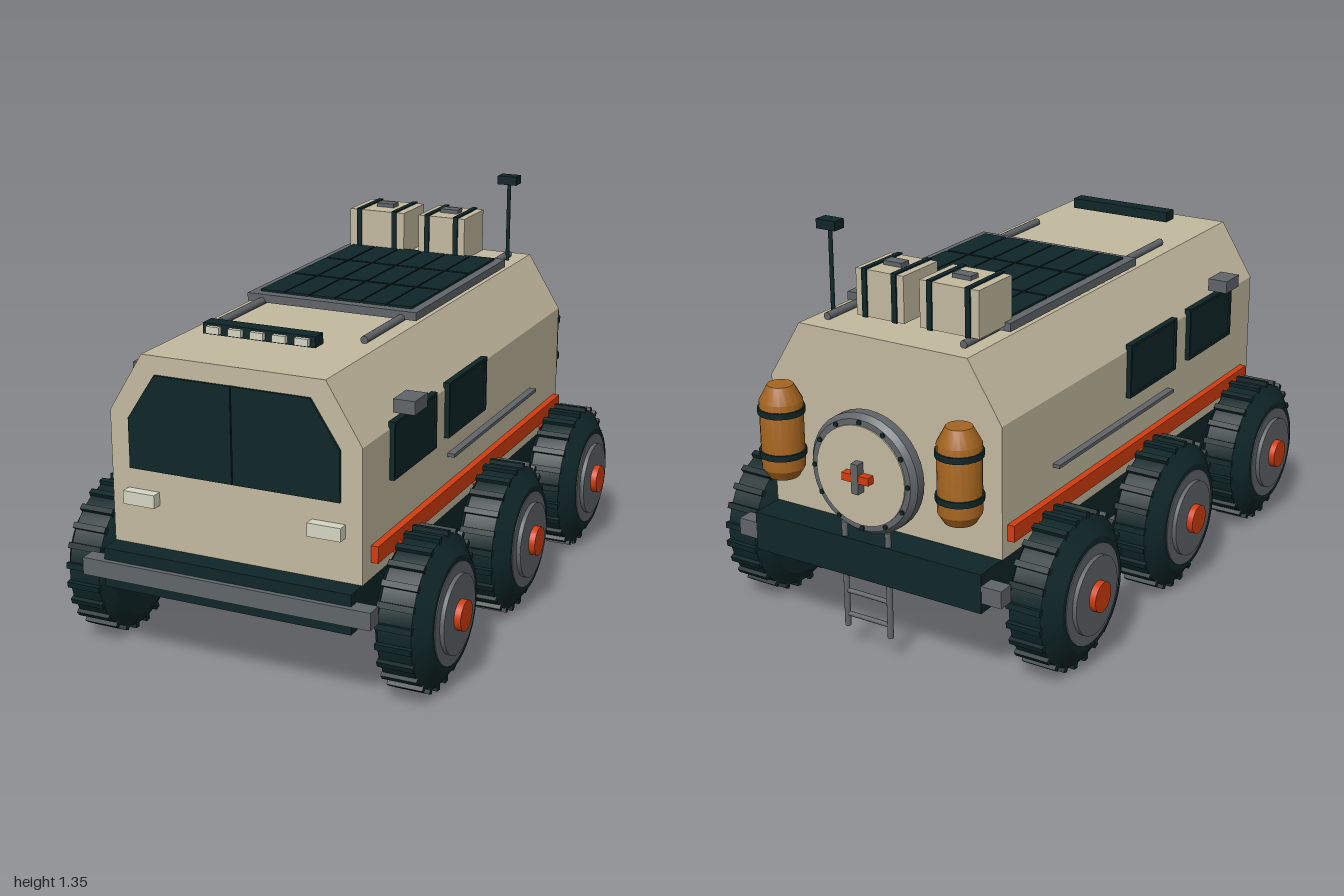
import * as THREE from 'three';
import { toCreasedNormals } from 'three/addons/utils/BufferGeometryUtils.js';

const paint = (name, color) => Object.assign(new THREE.MeshStandardMaterial({ color }), { name });

export function createModel() {
  const root = new THREE.Group();
  root.name = 'rover';
  const sand = paint('sand', 0xc3b99f);
  const dark = paint('dark rubber and glass', 0x0f2628);
  const grey = paint('metal grey', 0x606569);
  const orange = paint('signal orange', 0xd23c0e);
  const amber = paint('tank amber', 0xa5651f);
  const lamp = paint('lamp white', 0xd6d6c4);

  function add(name, geo, mat, x = 0, y = 0, z = 0, parent = root) {
    const m = new THREE.Mesh(geo, mat);
    m.name = name;
    m.position.set(x, y, z);
    parent.add(m);
    return m;
  }
  // box given by its limits on each axis
  const box = (name, mat, x0, x1, y0, y1, z0, z1, parent) =>
    add(name, new THREE.BoxGeometry(x1 - x0, y1 - y0, z1 - z0), mat,
      (x0 + x1) / 2, (y0 + y1) / 2, (z0 + z1) / 2, parent);
  // round bar between two points
  function rod(name, mat, a, b, r, parent) {
    const p = new THREE.Vector3(...a), q = new THREE.Vector3(...b);
    const m = add(name, new THREE.CylinderGeometry(r, r, p.distanceTo(q), 12), mat, 0, 0, 0, parent);
    m.position.copy(p).add(q).multiplyScalar(0.5);
    m.quaternion.setFromUnitVectors(new THREE.Vector3(0, 1, 0), q.sub(p).normalize());
    return m;
  }
  const lathe = (pts, seg) => toCreasedNormals(
    new THREE.LatheGeometry(pts.map(p => new THREE.Vector2(...p)), seg), 0.5);
  const extrude = (pts, depth) => new THREE.ExtrudeGeometry(
    new THREE.Shape(pts.map(p => new THREE.Vector2(...p))), { depth, bevelEnabled: false });

  // hull with chamfered shoulders
  add('hull', extrude([[-0.435, 0.402], [0.435, 0.402], [0.435, 0.84], [0.315, 1.035],
    [-0.315, 1.035], [-0.435, 0.84]], 1.745), sand, 0, 0, -0.84);
  // chassis and bumpers
  box('chassis', dark, -0.432, 0.432, 0.27, 0.402, -0.958, 0.98);
  box('frontBumper', grey, -0.503, 0.503, 0.305, 0.363, 0.94, 0.997);
  box('rearBumper', grey, -0.503, 0.503, 0.305, 0.363, -0.956, -0.9);

  // windshield in two panes
  for (const s of [1, -1]) {
    const pts = [[0.002, 0.66], [0.365, 0.66], [0.365, 0.825], [0.267, 0.975], [0.002, 0.975]];
    const pane = s > 0 ? pts : pts.map(([x, y]) => [-x, y]).reverse();
    add('windshieldPane', extrude(pane, 0.009), dark, 0, 0, 0.907);
  }
  box('windshieldBacking', dark, -0.01, 0.01, 0.66, 0.975, 0.9, 0.912);

  // wheel: tyre, lugs, rim, hub; local +x points outward
  const tyreGeo = lathe([[0, -0.09], [0.2, -0.09], [0.246, -0.062], [0.246, 0.048],
    [0.185, 0.09], [0, 0.09]], 32).rotateZ(-Math.PI / 2);
  const disc = (r, h) => new THREE.CylinderGeometry(r, r, h, 32).rotateZ(-Math.PI / 2);
  const lugGeo = new THREE.BoxGeometry(0.12, 0.024, 0.02);
  function wheel(x, z) {
    const w = new THREE.Group();
    w.name = 'wheel';
    w.position.set(x, 0.259, z);
    if (x < 0) w.rotation.y = Math.PI;
    add('tyre', tyreGeo, dark, 0, 0, 0, w);
    for (let i = 0; i < 24; i++) {
      const a = (i + 0.5) / 24 * Math.PI * 2;
      const lug = add('treadLug', lugGeo, dark, -0.007, Math.cos(a) * 0.247, Math.sin(a) * 0.247, w);
      lug.rotation.x = a;
    }
    add('rim', disc(0.166, 0.008), grey, 0.089, 0, 0, w);
    add('rimPlate', disc(0.13, 0.014), grey, 0.1, 0, 0, w);
    add('hub', disc(0.05, 0.03), orange, 0.114, 0, 0, w);
    add('axle', disc(0.04, 0.15), dark, -0.15, 0, 0, w);
    root.add(w);
  }

  // everything mirrored left and right
  for (const s of [1, -1]) {
    const side = (name, mat, x0, x1, ...r) =>
      box(name, mat, Math.min(s * x0, s * x1), Math.max(s * x0, s * x1), ...r);
    for (const z of [0.68, 0.015, -0.65]) {
      wheel(s * 0.555, z);
      rod('suspensionStrut', orange, [s * 0.445, 0.47, z], [s * 0.472, 0.36, z], 0.016);
    }
    side('sideStripe', orange, 0.43, 0.459, 0.455, 0.51, -0.81, 0.845);
    side('sideRail', grey, 0.43, 0.46, 0.6, 0.612, -0.54, 0.245);
    for (const z of [0.375, -0.06]) side('sideWindow', dark, 0.43, 0.445, 0.675, 0.863, z, z + 0.335);
    for (const z of [0.375, -0.06]) {
      for (const e of [0, 0.325]) side('windowFrame', dark, 0.44, 0.451, 0.675, 0.863, z + e, z + e + 0.01);
      for (const y of [0.675, 0.853]) side('windowFrame', dark, 0.44, 0.451, y, y + 0.01, z, z + 0.335);
    }
    side('headlight', lamp, 0.266, 0.378, 0.546, 0.59, 0.9, 0.94);
    // mirrors
    side('mirror', grey, 0.425, 0.497, 0.878, 0.922, 0.565, 0.665);
    rod('mirrorArm', dark, [s * 0.425, 0.835, 0.635], [s * 0.462, 0.885, 0.605], 0.007);
    rod('roofRail', grey, [s * 0.256, 1.046, -0.77], [s * 0.256, 1.046, 0.51], 0.013);

    // gas tanks on the rear wall
    const t = new THREE.Group();
    t.name = 'tank';
    t.position.set(s * 0.336, 0, -0.92);
    add('tankBody', lathe([[0, 0.542], [0.05, 0.542], [0.07, 0.575], [0.07, 0.8], [0.042, 0.852],
      [0, 0.852]], 20), amber, 0, 0, 0, t);
    for (const y of [0.625, 0.768])
      add('tankBand', new THREE.CylinderGeometry(0.076, 0.076, 0.02, 20), dark, 0, y, 0, t);
    root.add(t);
  }

  // solar panel: frame with 6 x 3 cells
  box('solarFrame', grey, -0.31, 0.31, 1.042, 1.07, -0.59, 0.225);
  for (let i = 0; i < 6; i++) for (let j = 0; j < 3; j++) {
    const x = -0.282 + i * 0.094, z = -0.56 + j * 0.253;
    box('solarCell', dark, x + 0.003, x + 0.091, 1.068, 1.077, z, z + 0.243);
  }

  // roof light bar
  box('lightBar', dark, -0.195, 0.195, 1.07, 1.106, 0.675, 0.73);
  for (let i = -2; i <= 2; i++)
    box('barLamp', lamp, i * 0.077 - 0.023, i * 0.077 + 0.023, 1.076, 1.099, 0.725, 0.745);

  // cargo cases with straps and handles
  for (const [x, hw, gap] of [[-0.182, 0.108, 0.07], [0.075, 0.09, 0.056]]) {
    box('cargoCase', sand, x - hw, x + hw, 1.058, 1.212, -0.735, -0.548);
    for (const s of [1, -1])
      box('cargoStrap', dark, x + s * gap - 0.009, x + s * gap + 0.009, 1.056, 1.217, -0.741, -0.542);
    box('cargoHandle', grey, x - 0.034, x + 0.034, 1.21, 1.226, -0.665, -0.622);
  }

  // antenna
  rod('antennaMast', dark, [0.27, 1.035, -0.72], [0.27, 1.325, -0.72], 0.007);
  box('antennaHead', dark, 0.233, 0.305, 1.32, 1.351, -0.746, -0.697);

  // rear hatch; local +y points backward
  const hatch = new THREE.Group();
  hatch.name = 'hatch';
  hatch.position.set(0, 0.63, -0.91);
  hatch.rotation.x = -Math.PI / 2;
  add('hatchRing', lathe([[0, 0], [0.2, 0], [0.2, 0.034], [0.185, 0.052], [0, 0.052]], 36), grey, 0, 0, 0, hatch);
  add('hatchDoor', new THREE.CylinderGeometry(0.166, 0.166, 0.012, 36), sand, 0, 0.051, 0, hatch);
  for (let i = 0; i < 12; i++) {
    const a = i / 12 * Math.PI * 2;
    add('hatchBolt', new THREE.CylinderGeometry(0.008, 0.008, 0.012, 8), dark,
      Math.cos(a) * 0.176, 0.052, Math.sin(a) * 0.176, hatch);
  }
  root.add(hatch);
  box('hatchHandleBar', orange, -0.05, 0.05, 0.617, 0.643, -0.995, -0.965);
  box('hatchHandlePost', grey, -0.013, 0.013, 0.58, 0.68, -0.997, -0.962);

  // rear ladder
  for (const s of [1, -1]) rod('ladderRail', grey, [s * 0.083, 0.085, -0.945], [s * 0.083, 0.45, -0.945], 0.01);
  for (const y of [0.128, 0.21, 0.292, 0.374])
    rod('ladderRung', grey, [-0.083, y, -0.945], [0.083, y, -0.945], 0.008);

  return root;
}
